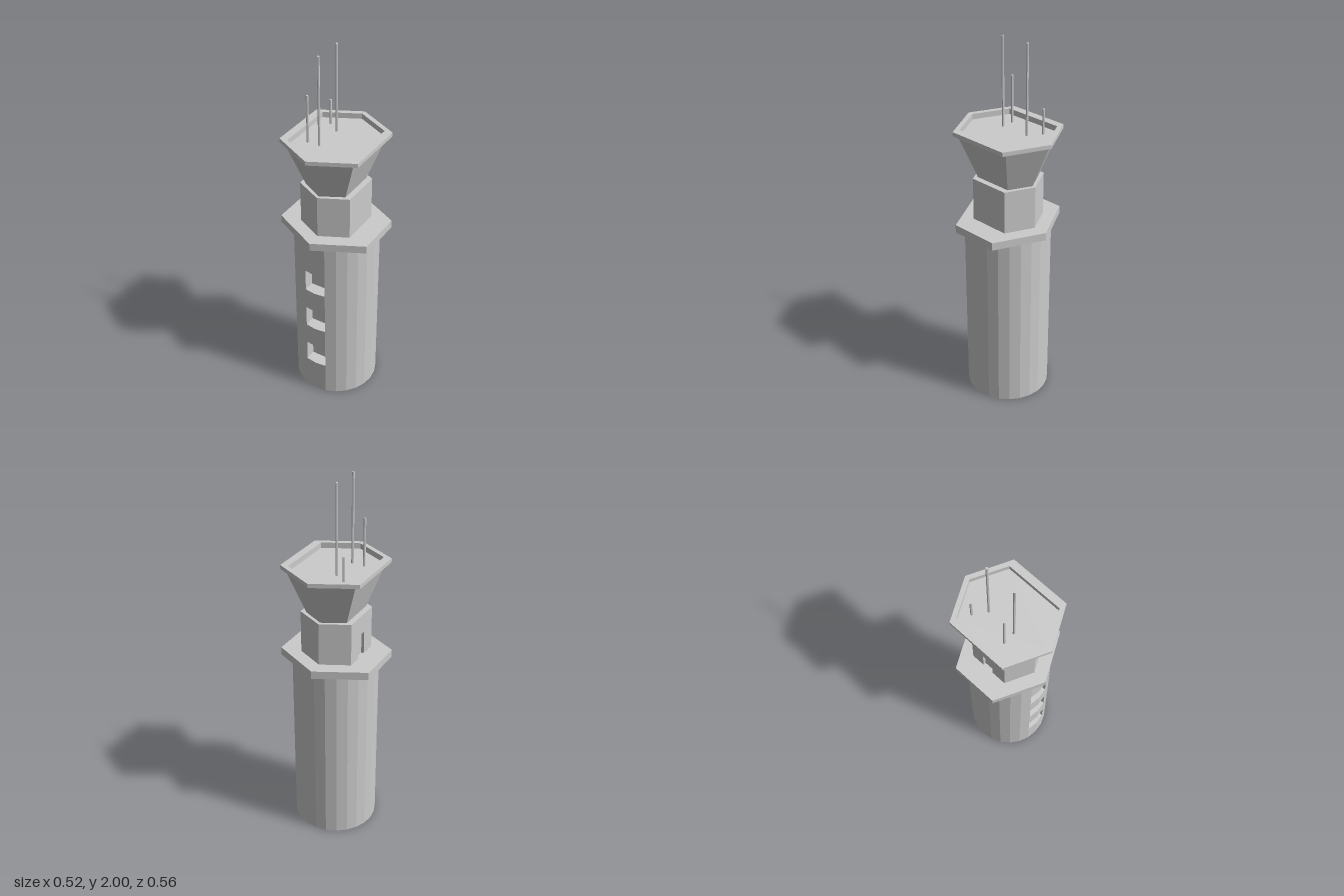
import * as THREE from 'three';
import { mergeGeometries } from 'three/addons/utils/BufferGeometryUtils.js';

const material = new THREE.MeshStandardMaterial({ color: 0xcccccc, flatShading: true });
const openMaterial = new THREE.MeshStandardMaterial({ color: 0xcccccc, flatShading: true, side: THREE.DoubleSide });

// Plan outlines are lists of [x, z], running from +z round through +x.
const hexagon = (x, z, tip) => [[0, tip], [x, z], [x, -z], [0, -tip], [-x, -z], [-x, z]];

// Side walls between two outlines of equal length, facing outwards.
function walls(low, y0, high, y1) {
  const pos = [];
  low.forEach(([ax, az], i) => {
    const j = (i + 1) % low.length;
    const [bx, bz] = low[j], [cx, cz] = high[j], [dx, dz] = high[i];
    pos.push(ax, y0, az, bx, y0, bz, cx, y1, cz);
    pos.push(ax, y0, az, cx, y1, cz, dx, y1, dz);
  });
  const g = new THREE.BufferGeometry();
  g.setAttribute('position', new THREE.Float32BufferAttribute(pos, 3));
  g.computeVertexNormals();
  return g;
}

// Flat face at height y, facing up (dir = 1) or down (dir = -1).
function cap(outline, y, dir, hole) {
  const flat = (pts) => pts.map(([x, z]) => new THREE.Vector2(x, -dir * z));
  const shape = new THREE.Shape(flat(outline));
  if (hole) shape.holes.push(new THREE.Path(flat(hole)));
  const g = new THREE.ShapeGeometry(shape).toNonIndexed();
  g.deleteAttribute('uv');
  return g.rotateX(-dir * Math.PI / 2).translate(0, y, 0);
}

export function createModel() {
  const model = new THREE.Group();
  const add = (name, mat, ...parts) => {
    const mesh = new THREE.Mesh(mergeGeometries(parts), mat);
    mesh.name = name;
    model.add(mesh);
  };
  const slabY = 1.013, roomY = 1.056, cabinY = 1.29;

  // Round shaft, open below, with three windows sunk into the front
  const shaftX = 0.004;
  const round = Array.from({ length: 24 }, (_, i) => {
    const a = i * Math.PI / 12;
    return [shaftX + 0.227 * Math.sin(a), 0.227 * Math.cos(a)];
  });
  const recess = [[round[23][0], 0.16], [round[1][0], 0.16]];
  const notched = [...round.slice(1), ...recess];
  const sill = [round[23], round[0], round[1], recess[1], recess[0]];
  const shaft = [];
  let y = 0;
  for (const [bottom, top] of [[0.195, 0.322], [0.451, 0.578], [0.703, 0.83]]) {
    shaft.push(walls(round, y, round, bottom), walls(notched, bottom, notched, top));
    shaft.push(cap(sill, bottom, 1), cap(sill, top, -1));
    y = top;
  }
  shaft.push(walls(round, y, round, slabY));
  add('shaft', openMaterial, ...shaft);

  // Hexagonal gallery slab
  const slab = hexagon(0.258, 0.13, 0.26);
  add('gallerySlab', material, walls(slab, slabY, slab, roomY), cap(slab, slabY, -1), cap(slab, roomY, 1));

  // Hexagonal room with a shallow doorway on the -x side
  const room = hexagon(0.147, 0.11, 0.183);
  const x0 = -0.147, x1 = -0.132, z0 = -0.037, z1 = 0.027, lintelY = 1.185;
  const door = [[x0, z0], [x1, z0], [x1, z1], [x0, z1]];
  const doorPlan = [...room.slice(0, 5), ...door, room[5]];
  add('room', material, walls(doorPlan, roomY, doorPlan, lintelY), cap(door, lintelY, -1),
    walls(room, lintelY, room, cabinY), cap(room, cabinY, 1));

  // Flared control cabin
  const rimY = 1.533, rimTop = 1.555, deckY = 1.525;
  add('cabin', material, walls(hexagon(0.117, 0.1035, 0.165), cabinY, hexagon(0.196, 0.165, 0.268), rimY));

  // Roof rim around a sunken deck
  const rim = hexagon(0.222, 0.168, 0.28), inner = hexagon(0.181, 0.161, 0.252);
  const inward = [...inner].reverse();
  add('roofRim', material, walls(rim, rimY, rim, rimTop), cap(rim, rimY, -1, hexagon(0.19, 0.16, 0.262)),
    cap(rim, rimTop, 1, inner), walls(inward, deckY, inward, rimTop));
  add('roofDeck', material, cap(inner, deckY, 1));

  // Antenna masts
  const masts = [[-0.047, 0.081, 2], [-0.047, -0.08, 2], [-0.113, 0.081, 1.78], [-0.113, -0.13, 1.66]];
  for (const [x, z, top] of masts) {
    const mast = new THREE.Mesh(new THREE.CylinderGeometry(0.0065, 0.0065, top - deckY, 6), material);
    mast.name = 'antenna';
    mast.position.set(x, (top + deckY) / 2, z);
    model.add(mast);
  }
  return model;
}
